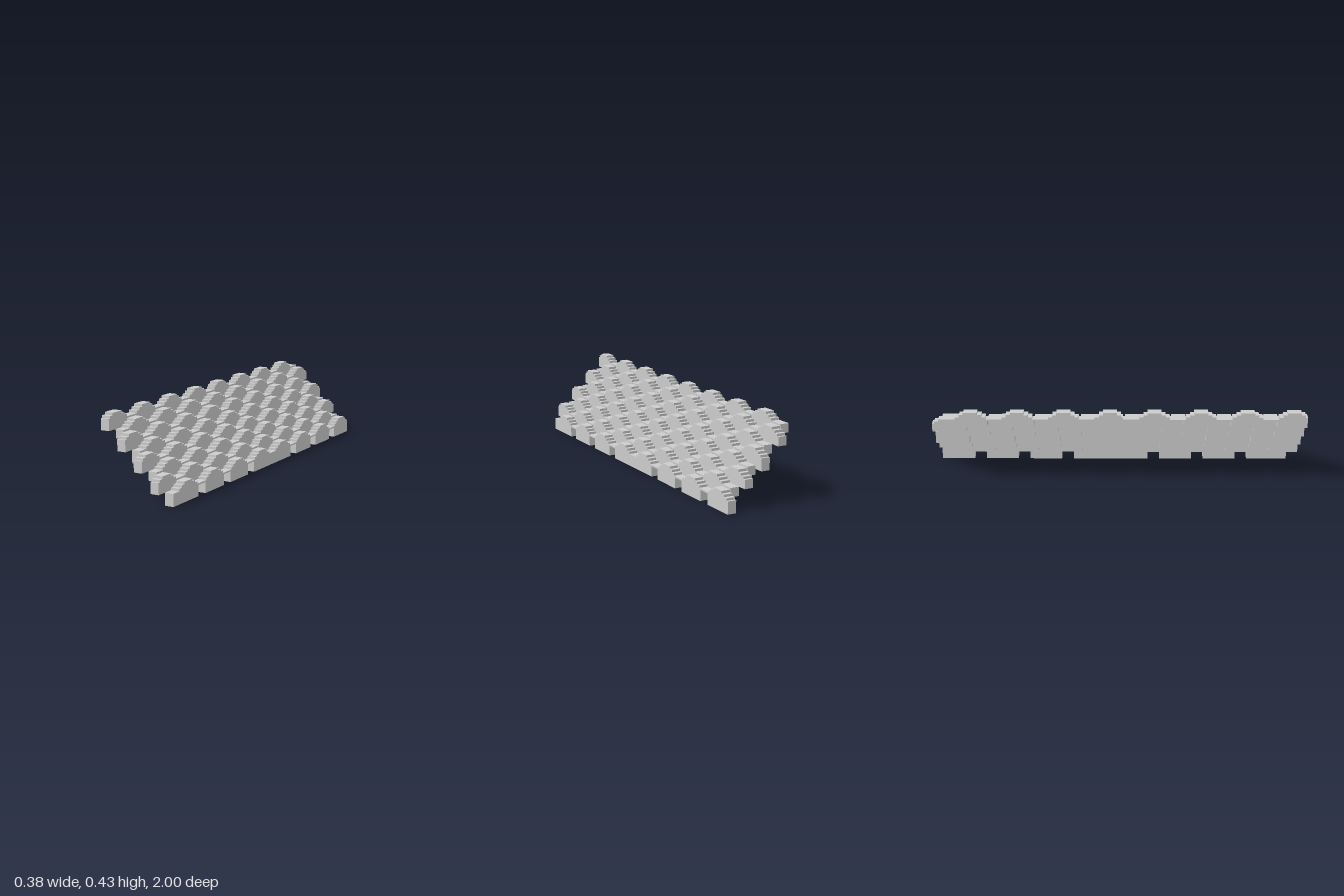
import * as THREE from 'three';

const COLS = 8, WIDTH = 0.0473, DROP = 0.0468, TOP = 0.431;
const PITCH = 0.247, TILES = 4;
const STEP = 0.0125;                       // height of one tread on a tile
const EDGES = [0.037, 0.059, 0.081];       // half-lengths of the stepped tile

// Side outline of one run of four stepped tiles, drawn in (z, y).
function runOutline(first, zMax, zMin, top, depth) {
  const pts = [];
  const clamp = z => Math.min(zMax, Math.max(zMin, z));
  const add = (z, y) => {
    const p = new THREE.Vector2(clamp(z), y), last = pts[pts.length - 1];
    if (!last || last.distanceTo(p) > 1e-5) pts.push(p);
  };
  const centres = Array.from({ length: TILES }, (_, i) => first - i * PITCH);

  // stepped top, walked from the front end to the back end
  add(zMax, top - 3 * STEP);
  for (const c of centres) {
    for (let s = 2; s >= 0; s--) {
      add(c + EDGES[s], top - (s + 1) * STEP);
      add(c + EDGES[s], top - s * STEP);
    }
    for (let s = 0; s < 3; s++) {
      add(c - EDGES[s], top - s * STEP);
      add(c - EDGES[s], top - (s + 1) * STEP);
    }
  }
  add(zMin, top - 3 * STEP);

  // feet below the tiles, with a thin bridge over each gap
  for (let i = TILES - 1; i >= 0; i--) {
    const back = i === TILES - 1 ? zMin : centres[i] - 0.09;
    const front = i === 0 ? zMax : centres[i] + 0.09;
    if (i < TILES - 1) add(back, top - 0.046);
    add(back, top - depth);
    add(front, top - depth);
    if (i > 0) add(front, top - 0.046);
  }
  return new THREE.Shape(pts);
}

export function createModel() {
  const roof = new THREE.Group();
  roof.name = 'tiledRoof';
  const material = new THREE.MeshStandardMaterial({ color: 0xcccccc, flatShading: true });

  for (let col = 0; col < COLS; col++) {
    const odd = col % 2 === 1;
    const top = TOP - col * DROP;
    const depth = col % 4 === 3 ? 0.103 : 0.0845;   // deeper eave on every fourth course
    const ends = odd ? [0.945, -0.022, -1] : [1, 0.023, -0.95];
    const course = new THREE.Group();
    course.name = 'tileCourse' + (col + 1);

    // front and back halves of the course
    for (let half = 0; half < 2; half++) {
      const first = (odd ? 0.811 : 0.93) - half * 0.977;
      const shape = runOutline(first, ends[half], ends[half + 1], top, depth);
      const geo = new THREE.ExtrudeGeometry(shape, { depth: WIDTH, bevelEnabled: false });
      geo.rotateY(-Math.PI / 2);
      geo.translate((col + 1 - COLS / 2) * WIDTH, 0, 0);
      const run = new THREE.Mesh(geo, material);
      run.name = half ? 'backTileRun' : 'frontTileRun';
      course.add(run);
    }
    roof.add(course);
  }
  return roof;
}
